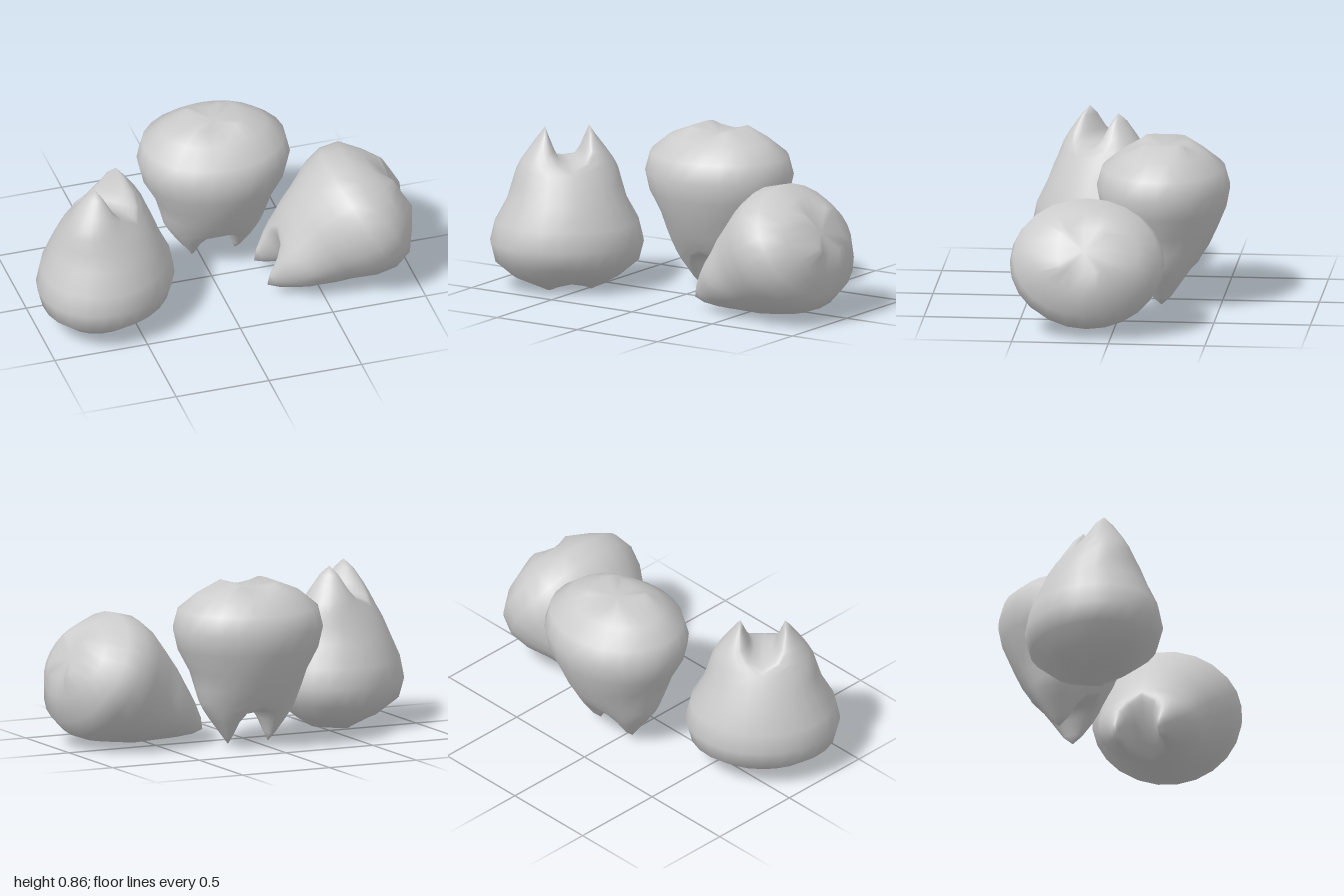
import * as THREE from 'three';
import { mergeVertices } from 'three/addons/utils/BufferGeometryUtils.js';

const SEG = 24;

// Joins equal-length closed loops into a skin; optional tip closes the last loop.
function loft(out, loops, tip) {
  const tri = (...pts) => pts.forEach((p) => out.push(...p));
  const n = loops[0].length;
  for (let k = 0; k < loops.length - 1; k++) {
    for (let i = 0; i < n; i++) {
      const j = (i + 1) % n;
      const [a, b, c, d] = [loops[k][i], loops[k][j], loops[k + 1][i], loops[k + 1][j]];
      tri(a, c, b);
      tri(b, c, d);
    }
  }
  if (tip) {
    const last = loops[loops.length - 1];
    last.forEach((p, i) => tri(p, tip, last[(i + 1) % n]));
  }
}

// Pear-shaped body, oval in section: height, half width, half depth
const BODY = [
  [0.06, 0.28, 0.215], [0.14, 0.375, 0.317], [0.24, 0.4, 0.345], [0.345, 0.375, 0.325],
  [0.46, 0.312, 0.277], [0.55, 0.286, 0.235], [0.62, 0.267, 0.19],
];
// Ear loops: inner x, middle x, outer x, half depth, inner y, outer y
const EAR = [
  [0, 0, 0.267, 0.19, 0.68, 0.62], [0.045, 0.09, 0.243, 0.145, 0.68, 0.665],
  [0.07, 0.12, 0.205, 0.105, 0.725, 0.72], [0.1, 0.12, 0.145, 0.05, 0.8, 0.8],
];

function figureGeometry() {
  const out = [];
  const angles = Array.from({ length: SEG }, (_, i) => (i / SEG) * Math.PI * 2);

  // Dented, squarish base ring
  const soft = (v) => Math.sign(v) * Math.sqrt(Math.abs(v));
  const base = angles.map((t) => {
    const c = Math.cos(t);
    return [0.13 * soft(c), 0.03 * (1 - Math.min(1, Math.abs(c) * 1.4)), 0.12 * soft(Math.sin(t))];
  });
  const rings = BODY.map(([y, a, b]) => angles.map((t) => [a * Math.cos(t), y, b * Math.sin(t)]));
  loft(out, [base, ...rings]);
  base.forEach((p, i) => out.push(...p, ...base[(i + 1) % SEG], 0, 0.03, 0));

  // Two ears, each growing from half of the top ring and the ridge between them
  for (const s of [1, -1]) {
    const loops = EAR.map(([xi, xm, xo, d, yi, yo]) => angles.map((a) => {
      const t = a - Math.PI / 2;
      const c = Math.cos(t);
      const x = c >= 0 ? xm + (xo - xm) * c : xm + (xm - xi) * c;
      const y = c >= 0 ? yo : yo - (yi - yo) * c;
      return [s * x, y, s * d * Math.sin(t)];
    }));
    loft(out, loops, [s * 0.115, 0.845, 0]);
  }

  const geo = new THREE.BufferGeometry();
  geo.setAttribute('position', new THREE.Float32BufferAttribute(out, 3));
  const welded = mergeVertices(geo, 1e-4);
  welded.computeVertexNormals();
  return welded;
}

export function createModel() {
  const group = new THREE.Group();
  group.name = 'threeFigures';
  const geometry = figureGeometry();
  const material = new THREE.MeshStandardMaterial({ color: 0xcccccc });

  const add = (name, position, rotation) => {
    const mesh = new THREE.Mesh(geometry, material);
    mesh.name = name;
    mesh.position.set(...position);
    mesh.rotation.set(...rotation);
    group.add(mesh);
  };
  add('uprightFigure', [-0.627, 0, 0.172], [0, Math.PI / 4, 0]);
  add('upsideDownFigure', [0.07, 0.86, -0.2], [Math.PI, 0, 0]);
  add('lyingFigure', [0.955, 0.485, 0.133], [0, Math.PI / 2, (Math.PI * 2) / 3, 'ZYX']);
  return group;
}
